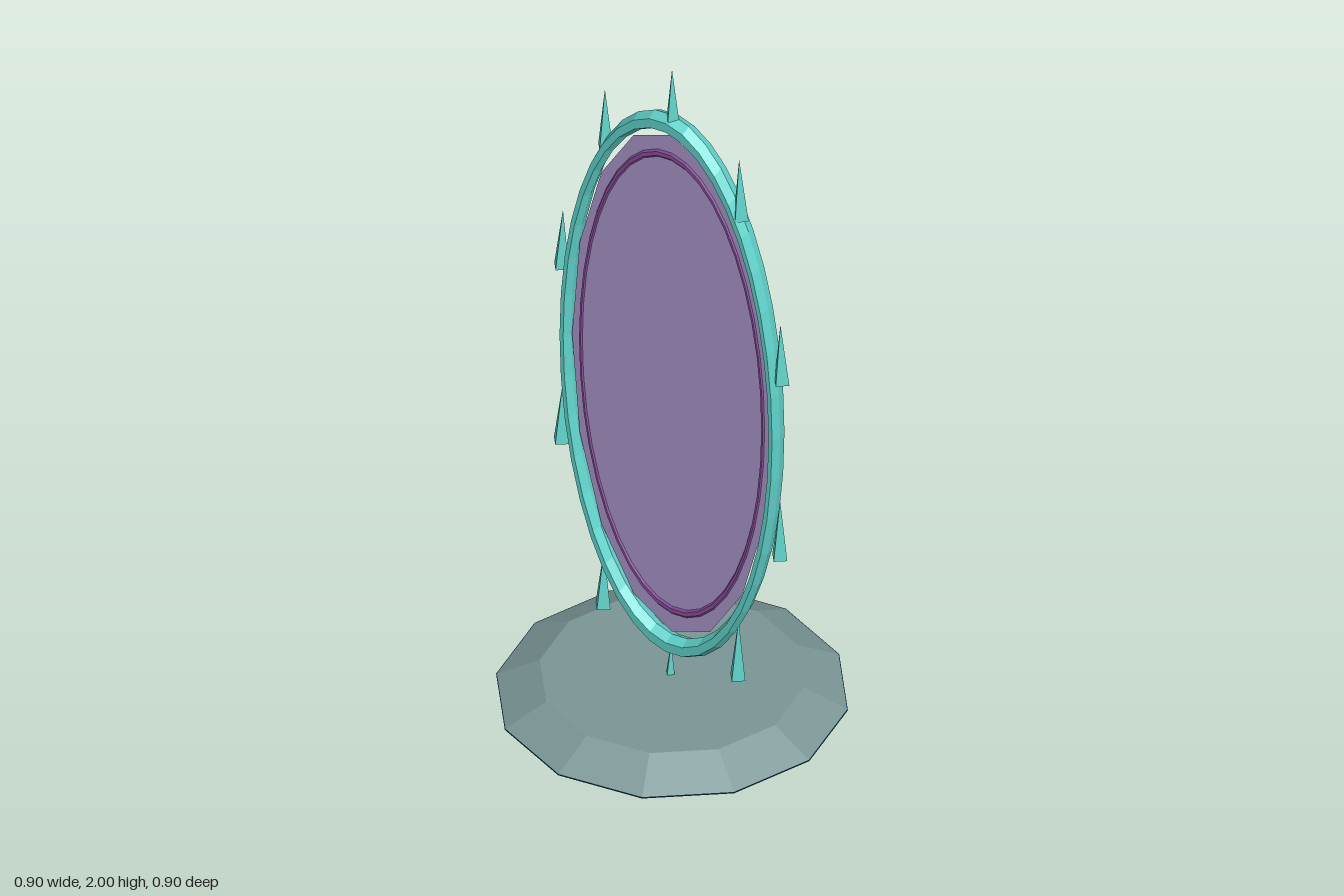
import * as THREE from 'three';

export function createModel() {
  const model = new THREE.Group();
  const mat = (name, color, double) => {
    const m = new THREE.MeshStandardMaterial({ color, flatShading: true });
    m.name = name;
    if (double) m.side = THREE.DoubleSide;
    return m;
  };
  const teal = mat('teal crystal', 0x5fd4cb);
  const lilac = mat('lilac glow', 0xab97c9, true);
  const plum = mat('plum rim', 0x8d4fa0);
  const stone = mat('grey stone', 0x7b9696);
  const navy = mat('dark underside', 0x1d465b);

  const add = (name, geometry, material, y = 0) => {
    const mesh = new THREE.Mesh(geometry, material);
    mesh.name = name;
    mesh.position.y = y;
    model.add(mesh);
    return mesh;
  };

  // Twelve-sided sloping base with a dark underside
  add('base', new THREE.CylinderGeometry(0.34, 0.45, 0.058, 12), stone, 0.051);
  add('baseUnderside', new THREE.CylinderGeometry(0.452, 0.452, 0.003, 12), navy, 0.0205);

  // Upright oval frame, inner rim and glowing surface, stretched from circles
  const STRETCH = 2.4;
  add('outerFrame', new THREE.TorusGeometry(0.344, 0.0118, 6, 40), teal, 1.002).scale.set(1, STRETCH, STRETCH);
  add('portalSurface', new THREE.CircleGeometry(0.329, 16), lilac, 1.002).scale.y = STRETCH;
  add('innerRim', new THREE.TorusGeometry(0.3, 0.005, 6, 40), plum, 1.002).scale.y = STRETCH;

  // Ten four-sided spikes around the frame: base x, base y, tip x, tip y
  const spikes = [
    [0.004, 1.815, 0, 2.0],
    [0.228, 1.637, 0.221, 1.82], [-0.218, 1.65, -0.221, 1.83],
    [0.362, 1.18, 0.357, 1.36], [-0.363, 1.2, -0.359, 1.38],
    [0.355, 0.62, 0.356, 0.8], [-0.364, 0.645, -0.361, 0.82],
    [0.217, 0.172, 0.219, 0.355], [-0.227, 0.185, -0.224, 0.365],
    [-0.006, 0, -0.003, 0.178],
  ];
  const up = new THREE.Vector3(0, 1, 0);
  for (const [bx, by, tx, ty] of spikes) {
    const axis = new THREE.Vector3(tx - bx, ty - by, 0);
    const length = axis.length();
    const cone = new THREE.ConeGeometry(0.0245, length, 4).translate(0, length / 2, 0);
    const spike = add('spike', cone, teal, by);
    spike.position.x = bx;
    spike.quaternion.setFromUnitVectors(up, axis.normalize());
  }
  return model;
}
